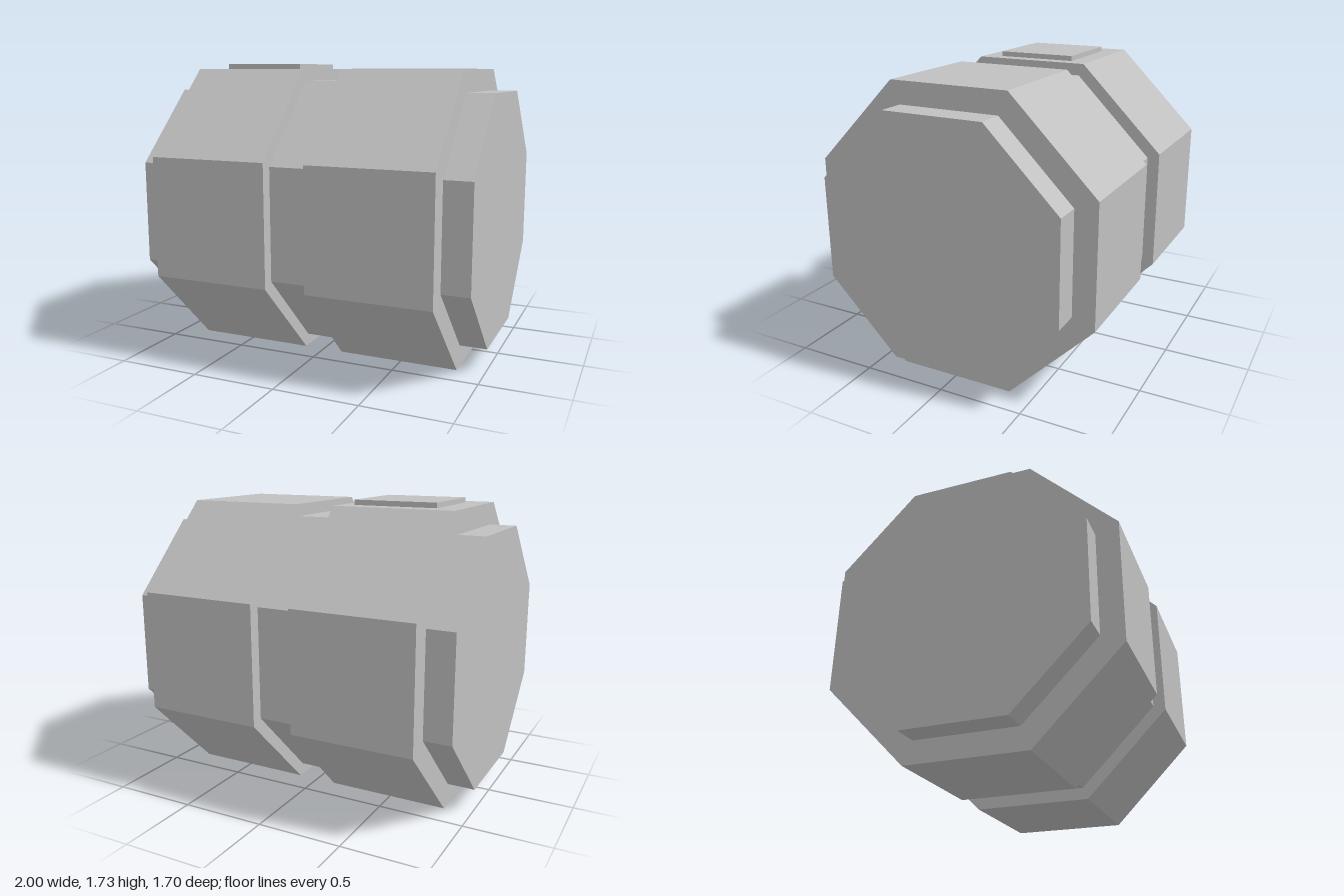
import * as THREE from 'three';

const CENTER_Y = 0.85;

export function createModel() {
  const model = new THREE.Group();
  model.name = 'octagonalBarrel';
  const grey = new THREE.MeshStandardMaterial({ color: 0xc0c0c0, flatShading: true });
  grey.name = 'light grey';

  // Octagonal drum lying along x, flat sides facing up, down, front and back
  function drum(name, x0, x1, apothem) {
    const radius = apothem / Math.cos(Math.PI / 8);
    const geometry = new THREE.CylinderGeometry(radius, radius, x1 - x0, 8);
    geometry.rotateY(Math.PI / 8).rotateZ(Math.PI / 2);
    const mesh = new THREE.Mesh(geometry, grey);
    mesh.name = name;
    mesh.position.set((x0 + x1) / 2, CENTER_Y, 0);
    model.add(mesh);
  }

  // Two wide drums joined by a narrower neck, with a stepped cap on each end
  drum('rightEndCap', -1, -0.84, 0.72);
  drum('rightDrum', -0.84, -0.12, 0.85);
  drum('centreNeck', -0.12, 0.12, 0.78);
  drum('leftDrum', 0.12, 0.84, 0.85);
  drum('leftEndCap', 0.84, 1, 0.72);

  // Raised plate on top of the right drum
  const plate = new THREE.Mesh(new THREE.BoxGeometry(0.5, 0.03, 0.48), grey);
  plate.name = 'topPlate';
  plate.position.set(-0.45, 1.715, 0);
  model.add(plate);

  return model;
}
